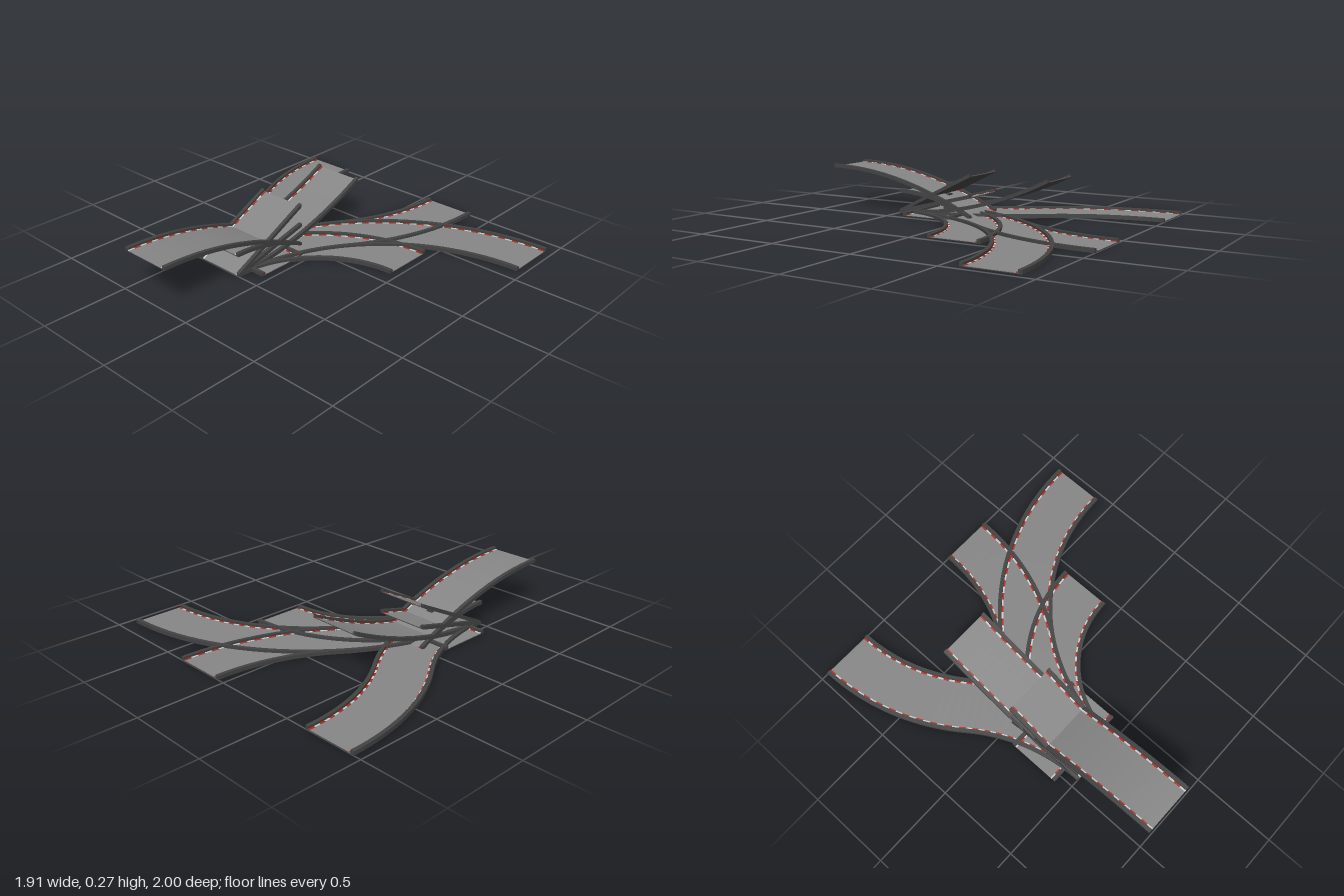
import * as THREE from 'three';
import { toCreasedNormals } from 'three/addons/utils/BufferGeometryUtils.js';

const CX = -0.295, START = 0.5;
const mat = (color) => new THREE.MeshStandardMaterial({ color, roughness: 0.9 });
const dark = mat(0x424242), grey = mat(0x858585), red = mat(0xb8281c), white = mat(0xd8d8d8);

// A path point: position plus the flat heading (hx, hz)
const pt = (x, y, z, hx = 0, hz = -1) => ({ x, y, z, nx: -hz, nz: hx });

// Straight in plan, with a height rule
const ramp = (z0, z1, height) => (t) => pt(CX, height(t), z0 + (z1 - z0) * t);

// Quarter turn towards +x
const turn = (r) => (t) => {
  const a = t * Math.PI / 2;
  return pt(CX + r * (1 - Math.cos(a)), 0, START - r * Math.sin(a), Math.sin(a), -Math.cos(a));
};

// Lane shift made of two opposite arcs; s is the side
const shift = (s) => (t) => {
  const r = 1.25, a = Math.asin(0.6) * (t < 0.5 ? 2 * t : 2 - 2 * t);
  const dx = r * (1 - Math.cos(a)), dz = r * Math.sin(a);
  return t < 0.5
    ? pt(CX + s * dx, 0, START - dz, s * Math.sin(a), -Math.cos(a))
    : pt(CX + s * (0.5 - dx), 0, -1 + dz, s * Math.sin(a), -Math.cos(a));
};

// Sweep a rectangle (offset o0..o1, height y0..y1) along the path from t0 to t1
function sweep(out, path, [o0, o1, y0, y1], t0, t1, steps) {
  const corners = [[o0, y0], [o1, y0], [o1, y1], [o0, y1]];
  const quad = (a, b, c, d) => [a, b, c, a, c, d].forEach((p) => out.push(...p));
  const ring = (i) => {
    const p = path(t0 + (t1 - t0) * i / steps);
    return corners.map(([o, y]) => [p.x + p.nx * o, p.y + y, p.z + p.nz * o]);
  };
  let prev = ring(0);
  quad(...prev);
  for (let i = 1; i <= steps; i++) {
    const next = ring(i);
    for (let k = 0; k < 4; k++) {
      const m = (k + 1) % 4;
      quad(prev[k], next[k], next[m], prev[m]);
    }
    prev = next;
  }
  quad(...prev.reverse());
}

function mesh(name, positions, material) {
  const g = new THREE.BufferGeometry();
  g.setAttribute('position', new THREE.Float32BufferAttribute(positions, 3));
  const m = new THREE.Mesh(toCreasedNormals(g, 0.5), material);
  m.name = name;
  return m;
}

// One track piece: base, road surface, two rails and striped kerbs
function track(name, path, length, steps) {
  const group = new THREE.Group();
  group.name = name;
  const base = [], road = [], rails = [], stripes = [[], []];
  sweep(base, path, [-0.15, 0.15, 0, 0.004], 0, 1, steps);
  sweep(road, path, [-0.141, 0.141, 0.004, 0.007], 0, 1, steps);
  const count = 2 * Math.round(length / 0.075);
  for (const s of [-1, 1]) {
    const span = (a, b) => (s < 0 ? [-b, -a] : [a, b]);
    sweep(rails, path, [...span(0.14, 0.162), 0, 0.022], 0, 1, steps);
    for (let i = 0; i < count; i++) {
      sweep(stripes[i % 2], path, [...span(0.13, 0.141), 0.006, 0.0095], i / count, (i + 1) / count, 1);
    }
  }
  group.add(
    mesh('base', base, dark), mesh('roadSurface', road, grey), mesh('rails', rails, dark),
    mesh('whiteKerbs', stripes[0], white), mesh('redKerbs', stripes[1], red),
  );
  return group;
}

export function createModel() {
  const model = new THREE.Group();
  model.name = 'trackPieces';
  const H = 0.25;
  model.add(
    // flat pieces
    track('crossStraight', (t) => pt(CX - 0.25 + 0.5 * t, 0, 0.25, 1, 0), 0.5, 1),
    track('smallTurn', turn(0.75), 1.18, 24),
    track('largeTurn', turn(1.25), 1.96, 32),
    track('rightShift', shift(-1), 1.6, 32),
    track('leftShift', shift(1), 1.6, 32),
    // straight ramps
    track('steepRamp', ramp(0.5, 0, (t) => H * t), 0.5, 1),
    track('lowRamp', ramp(0.5, 0, (t) => H / 2 * t), 0.5, 1),
    // curved ramps
    track('risingRamp', ramp(0.5, -0.5, (t) => H * t * t), 1, 24),
    track('crestRamp', ramp(1, 0, (t) => H * (1 - t * t)), 1, 24),
    track('lowCrestRamp', ramp(0.5, 0, (t) => H / 2 * (1 - t * t)), 0.5, 16),
  );
  // support post under the ramps
  const post = new THREE.Mesh(new THREE.BoxGeometry(0.04, 0.12, 0.04), dark);
  post.name = 'supportPost';
  post.position.set(CX, 0.06, 0.25);
  model.add(post);
  return model;
}
